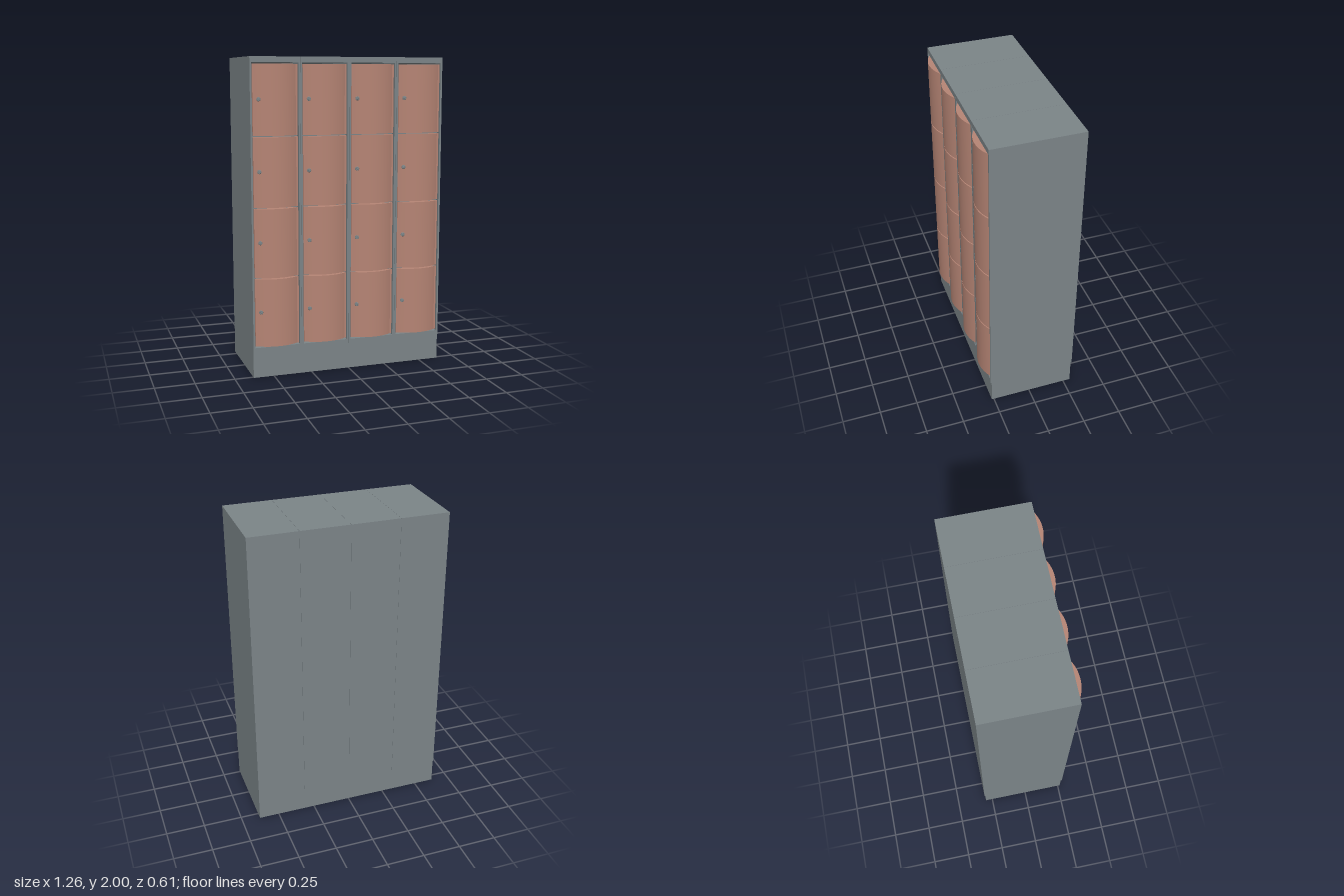
import * as THREE from 'three';
import { toCreasedNormals } from 'three/addons/utils/BufferGeometryUtils.js';

const steel = new THREE.MeshStandardMaterial({ color: 0x7b8487 });
const paint = new THREE.MeshStandardMaterial({ color: 0xb58474 });

const BAYS = 4, ROWS = 4;
const HALF = 0.633, BAY = (2 * HALF) / BAYS;
const BASE = 0.165, TOP = 2, BACK = -0.305, FRONT = 0.272;
const DOOR_BOTTOM = 0.2, PITCH = 0.44, GAP = 0.008;
const R = 0.235, PEAK = 0.305, ARC_HALF = 0.13, DOOR_HALF = 0.141;

function add(parent, name, geometry, material, x = 0, y = 0, z = 0) {
  const mesh = new THREE.Mesh(geometry, material);
  mesh.name = name;
  mesh.position.set(x, y, z);
  parent.add(mesh);
  return mesh;
}

function rect(path, x0, y0, x1, y1) {
  path.moveTo(x0, y0);
  path.lineTo(x1, y0);
  path.lineTo(x1, y1);
  path.lineTo(x0, y1);
  path.closePath();
  return path;
}

function ring(outer, inner, depth) {
  const shape = rect(new THREE.Shape(), ...outer);
  shape.holes.push(rect(new THREE.Path(), ...inner));
  return new THREE.ExtrudeGeometry(shape, { depth, bevelEnabled: false });
}

// Bowed door with a narrow flat flange on both sides, standing on y = 0
function doorGeometry() {
  const a = Math.asin(ARC_HALF / R);
  const edge = PEAK - R + R * Math.cos(a);
  const s = new THREE.Shape();
  s.moveTo(-DOOR_HALF, 0.25);
  s.lineTo(DOOR_HALF, 0.25);
  s.lineTo(DOOR_HALF, edge);
  s.lineTo(ARC_HALF, edge);
  s.absarc(0, PEAK - R, R, Math.PI / 2 - a, Math.PI / 2 + a, false);
  s.lineTo(-DOOR_HALF, edge);
  s.closePath();
  const height = PITCH - GAP;
  const g = new THREE.ExtrudeGeometry(s, { depth: height, bevelEnabled: false, curveSegments: 24 });
  g.rotateX(Math.PI / 2).translate(0, height, 0);
  return toCreasedNormals(g, 0.5);
}

// Round lock with a raised core, its axis along +z
function lockGeometry() {
  const profile = [[0, 0.006], [0.005, 0.006], [0.006, 0.004], [0.011, 0.004], [0.013, 0.002], [0.013, -0.004]]
    .map(([x, y]) => new THREE.Vector2(x, y)).reverse();
  return toCreasedNormals(new THREE.LatheGeometry(profile, 20).rotateX(Math.PI / 2), 0.5);
}

export function createModel() {
  const model = new THREE.Group();
  model.name = 'lockerCabinet';

  // Hollow plinth, open below
  const plinth = ring([-HALF + 0.001, -0.265, HALF - 0.001, 0.298], [-HALF + 0.013, -0.253, HALF - 0.013, 0.286], BASE);
  plinth.rotateX(-Math.PI / 2);
  add(model, 'plinth', plinth, steel);

  const w = BAY / 2 - 0.0006;
  const shell = ring([-w, BASE, w, TOP], [-0.146, 0.195, 0.146, 1.965], FRONT - BACK - 0.01);
  const backPanel = new THREE.BoxGeometry(2 * w, TOP - BASE, 0.01);
  const shelf = new THREE.BoxGeometry(0.292, 0.016, 0.53);
  const door = doorGeometry();
  const lock = lockGeometry();
  const lockX = -0.107, lockAngle = Math.asin(lockX / R);

  for (let i = 0; i < BAYS; i++) {
    const bay = new THREE.Group();
    bay.name = 'lockerColumn';
    bay.position.x = -HALF + BAY * (i + 0.5);
    model.add(bay);

    add(bay, 'shell', shell, steel, 0, 0, BACK + 0.01);
    add(bay, 'backPanel', backPanel, steel, 0, (TOP + BASE) / 2, BACK + 0.005);

    for (let j = 0; j < ROWS; j++) {
      const y = DOOR_BOTTOM + PITCH * j;
      add(bay, 'door', door, paint, 0, y + GAP / 2, 0);
      const knob = add(bay, 'lock', lock, steel, lockX, y + 0.225, PEAK - R + R * Math.cos(lockAngle));
      knob.rotation.y = lockAngle;
      // Shelf behind each joint between doors
      if (j > 0) add(bay, 'shelf', shelf, steel, 0, y, -0.03);
    }
  }
  return model;
}
